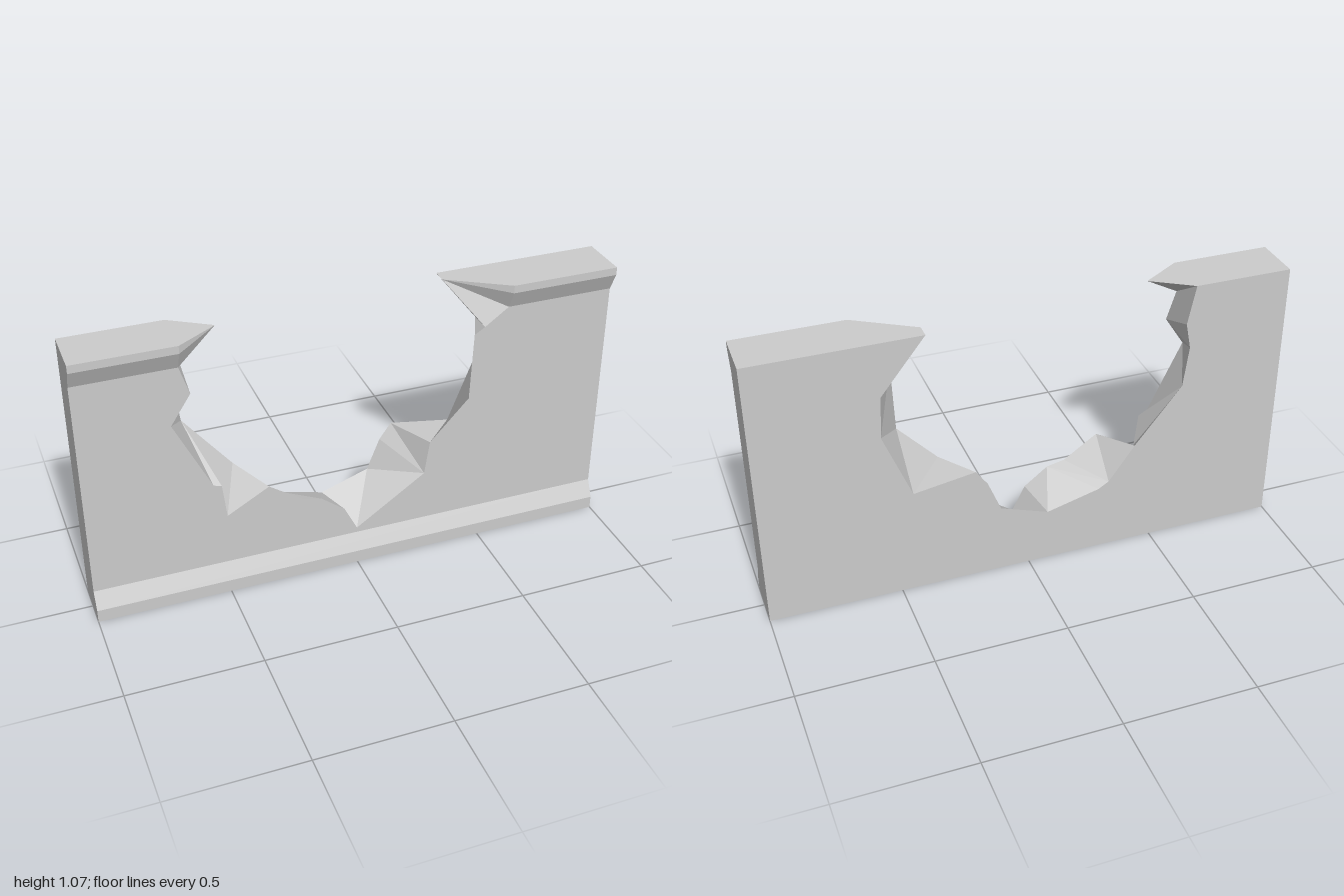
import * as THREE from 'three';

const FRONT = 0.062, TRIM = 0.095, BACK = -0.095, TOP = 1.07;

// Broken rim on the front and back faces, from -x to +x: [x, y]
const frontRim = [
  [-0.63, 0.97], [-0.595, 0.86], [-0.67, 0.745], [-0.535, 0.465], [-0.505, 0.455], [-0.49, 0.32],
  [-0.33, 0.41], [-0.2, 0.32], [-0.13, 0.305], [-0.04, 0.235], [0.01, 0.135], [0.28, 0.32],
  [0.3, 0.455], [0.45, 0.615], [0.46, 0.88], [0.5, 0.905], [0.59, 0.97],
];
const backRim = [
  [-0.63, TOP], [-0.6, 0.92], [-0.62, 0.82], [-0.6, 0.66], [-0.42, 0.435], [-0.32, 0.295],
  [-0.28, 0.27], [-0.075, 0.215], [0.11, 0.28], [0.16, 0.405], [0.205, 0.468], [0.44, 0.43],
  [0.545, 0.695], [0.536, 0.86], [0.37, TOP],
];
// Pointed overhangs left at the top edge
const tipA = [-0.48, TOP, 0], tipB = [0.37, TOP, -0.04];

// Side profiles of the mouldings: [y, z]
const lowerTrim = [[0, TRIM], [0.05, TRIM], [0.115, FRONT]];
const upperTrim = [[0.97, FRONT], [1.04, TRIM], [TOP, TRIM]];

const material = new THREE.MeshStandardMaterial({ color: 0xcccccc, flatShading: true });

function flat(points) {
  return new THREE.ShapeGeometry(new THREE.Shape(points.map(([x, y]) => new THREE.Vector2(x, y))));
}

// Flat-shaded strip between two point rows, leaving out collapsed triangles
function strip(a, b) {
  const pos = [];
  const same = (p, q) => p.every((v, i) => v === q[i]);
  const tri = (p, q, r) => {
    if (!same(p, q) && !same(q, r) && !same(p, r)) pos.push(...p, ...q, ...r);
  };
  for (let i = 0; i < a.length - 1; i++) {
    tri(a[i], a[i + 1], b[i]);
    tri(a[i + 1], b[i + 1], b[i]);
  }
  const g = new THREE.BufferGeometry();
  g.setAttribute('position', new THREE.Float32BufferAttribute(pos, 3));
  g.computeVertexNormals();
  return g;
}

function moulding(profile, x0, x1) {
  return strip(profile.map(([y, z]) => [x1, y, z]), profile.map(([y, z]) => [x0, y, z]));
}

export function createModel() {
  const wall = new THREE.Group();
  wall.name = 'brokenWall';
  const add = (name, geometry) => {
    const mesh = new THREE.Mesh(geometry, material);
    mesh.name = name;
    wall.add(mesh);
    return mesh;
  };

  // Main faces
  add('frontFace', flat([[-1, 0.97], [-1, 0.115], [1, 0.115], [1, 0.97], ...[...frontRim].reverse()]).translate(0, 0, FRONT));
  const backOutline = [[-1, TOP], [-1, 0], [1, 0], [1, TOP], ...[...backRim].reverse()];
  add('backFace', flat(backOutline.map(([x, y]) => [-x, y])).rotateY(Math.PI).translate(0, 0, BACK));

  // Mouldings
  add('lowerMoulding', moulding(lowerTrim, -1, 1));
  add('upperMouldingRight', moulding(upperTrim, -1, -0.63));
  add('upperMouldingLeft', moulding(upperTrim, 0.59, 1));

  // End faces
  const profile = [[0, BACK], ...lowerTrim, ...upperTrim, [TOP, BACK]];
  for (const s of [-1, 1]) {
    add(s > 0 ? 'leftEnd' : 'rightEnd',
      flat(profile.map(([y, z]) => [-s * z, y])).rotateY(s * Math.PI / 2).translate(s, 0, 0));
  }

  // Top faces and underside
  const topFace = (pts) => flat(pts.map(([x, z]) => [x, -z])).rotateX(-Math.PI / 2).translate(0, TOP, 0);
  add('topRight', topFace([[-1, BACK], [-1, TRIM], [-0.63, TRIM], [tipA[0], tipA[2]], [-0.63, BACK]]));
  add('topLeft', topFace([[1, BACK], [1, TRIM], [0.59, TRIM], [tipB[0], tipB[2]], [0.37, BACK]]));
  add('underside', new THREE.PlaneGeometry(2, TRIM - BACK).rotateX(Math.PI / 2));

  // Jagged break: matching [front, back] rim indices
  const pairs = [
    [0, 0], [1, 1], [1, 2], [2, 2], [2, 3], [3, 3], [4, 3], [5, 3], [5, 4], [6, 4], [6, 5], [7, 5],
    [8, 5], [8, 6], [8, 7], [9, 7], [10, 7], [10, 8], [11, 8], [11, 9], [11, 10], [12, 10], [12, 11],
    [13, 11], [13, 12], [14, 12], [14, 13], [15, 13], [15, 14],
  ];
  const F = (i) => [...frontRim[i], FRONT], B = (i) => [...backRim[i], BACK];
  const edge = (x) => upperTrim.map(([y, z]) => [x, y, z]);
  const front = [...edge(-0.63).reverse(), ...pairs.map((p) => F(p[0])), F(15), ...edge(0.59)];
  const back = [tipA, tipA, tipA, ...pairs.map((p) => B(p[1])), tipB, tipB, tipB, tipB];
  add('brokenEdge', strip(front, back));

  return wall;
}
